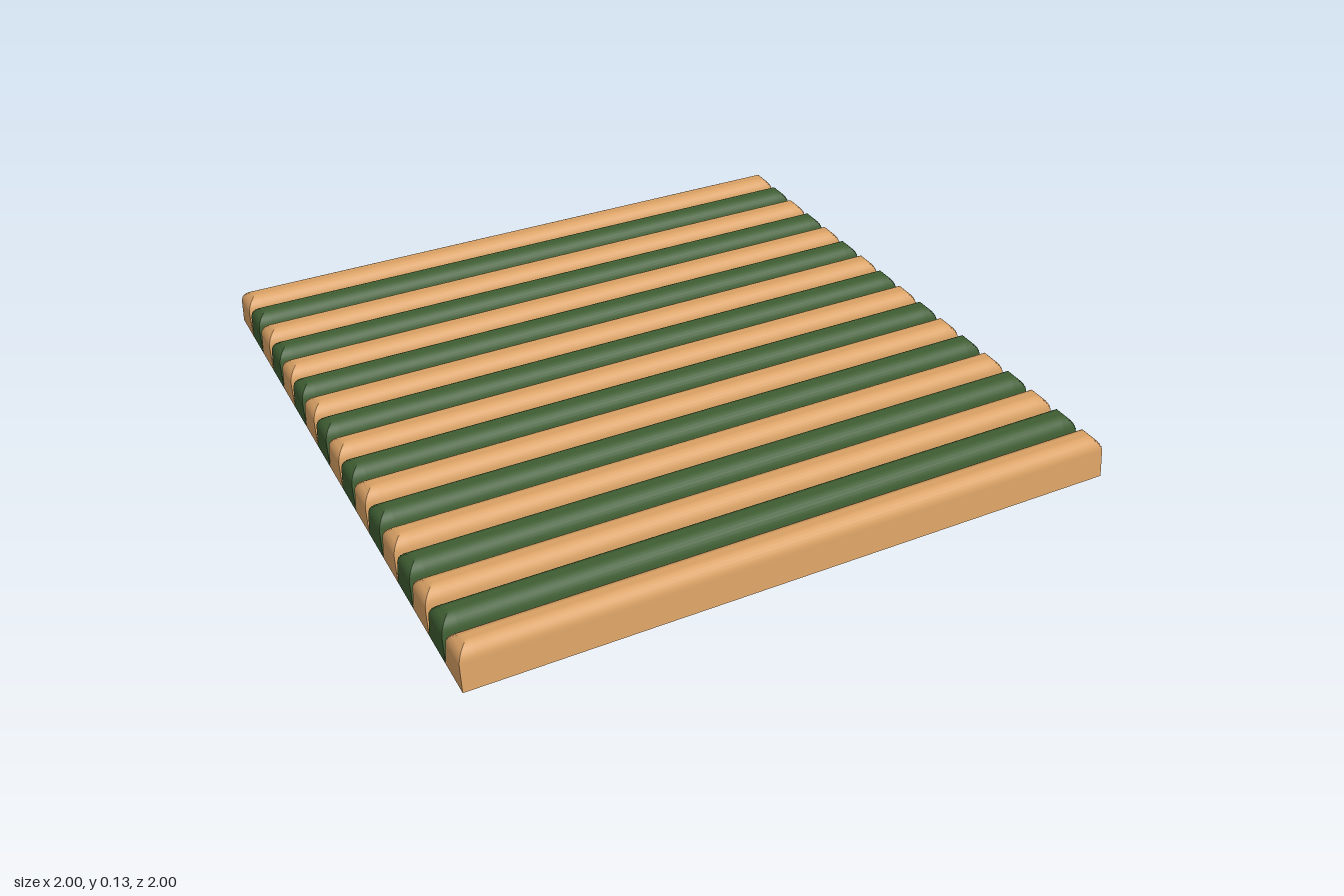
import * as THREE from 'three';
import { toCreasedNormals } from 'three/addons/utils/BufferGeometryUtils.js';

const COUNT = 17, PITCH = 2 / COUNT;
const HEIGHT = 0.127, ROUND = 0.047, BASE = 0.0585, SHOULDER = 0.047, STEPS = 8;

// One hollow domed slat along x: tapered sides, round top, rounded upper ends, open below
function slatGeometry() {
  const levels = [];
  for (let k = 0; k <= STEPS; k++) {
    const a = (k / STEPS) * Math.PI / 2;
    levels.push({ y: HEIGHT - ROUND + ROUND * Math.sin(a), c: Math.cos(a) });
  }

  // Cross-section as [z, y], from the front foot over the top to the back foot
  const half = [[BASE, 0], ...levels.map(l => [SHOULDER * l.c, l.y])];
  const profile = [...half, ...half.slice(0, -1).reverse().map(([z, y]) => [-z, y])];

  // Stations along x, each with the height the section is cut to
  const left = levels.map(l => ({ x: -1 + 0.045 * (1 - l.c), top: l.y }));
  const stations = [...left, ...left.slice().reverse().map(s => ({ x: -s.x, top: s.top }))];
  const rings = stations.map(s =>
    profile.map(([z, y]) => [s.x, Math.min(y, s.top), z]));

  const pos = [];
  const tri = (a, b, c) => pos.push(...a, ...b, ...c);
  const n = profile.length;
  for (let i = 0; i < rings.length - 1; i++) {
    const p = rings[i], q = rings[i + 1];
    for (let j = 0; j < n - 1; j++) {
      tri(p[j], q[j], q[j + 1]);
      tri(p[j], q[j + 1], p[j + 1]);
    }
  }
  // Flat end faces
  const first = rings[0], last = rings[rings.length - 1];
  for (let j = 0; j < n - 1; j++) {
    tri([-1, 0, 0], first[j], first[j + 1]);
    tri([1, 0, 0], last[j + 1], last[j]);
  }

  const geometry = new THREE.BufferGeometry();
  geometry.setAttribute('position', new THREE.Float32BufferAttribute(pos, 3));
  return toCreasedNormals(geometry, 0.5);
}

export function createModel() {
  const model = new THREE.Group();
  model.name = 'slattedMat';
  const geometry = slatGeometry();
  const tan = new THREE.MeshStandardMaterial({ color: 0xd8a064, side: THREE.DoubleSide });
  const green = new THREE.MeshStandardMaterial({ color: 0x3e5d32, side: THREE.DoubleSide });

  // Alternating slats, tan at both edges
  for (let i = 0; i < COUNT; i++) {
    const isTan = i % 2 === 0;
    const slat = new THREE.Mesh(geometry, isTan ? tan : green);
    slat.name = (isTan ? 'tanSlat' : 'greenSlat') + (i + 1);
    slat.position.z = -1 + PITCH * (i + 0.5);
    model.add(slat);
  }
  return model;
}
